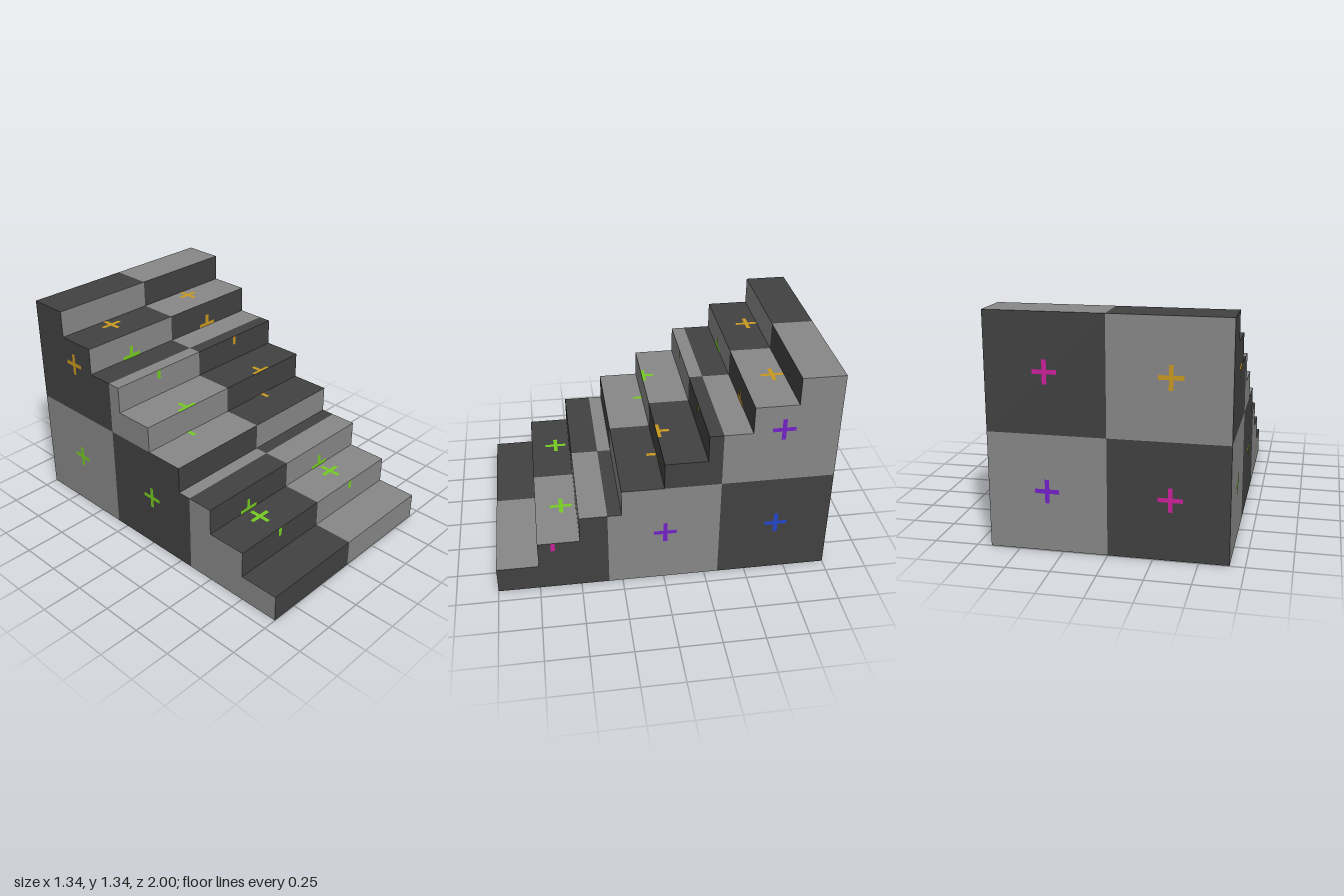
import * as THREE from 'three';

const flat = (name, color) => Object.assign(new THREE.MeshStandardMaterial({ color }), { name });

export function createModel() {
  const model = new THREE.Group();
  model.name = 'staircase';
  const mats = {
    dark: flat('dark grey', 0x414141),
    light: flat('light grey', 0x878787),
    green: flat('green', 0x76cb22),
    gold: flat('gold', 0xc8981f),
    purple: flat('purple', 0x7320c8),
    blue: flat('blue', 0x2246cc),
    magenta: flat('magenta', 0xcb1f9c),
  };

  const STEPS = 8, RUN = 0.25, RISE = 1 / 6, CELL = 2 / 3, W = CELL, H = STEPS * RISE;

  // each face: rotation of an upright plane, position from (u, v, depth), and which checker parity is dark
  const faces = {
    front: { rot: [0, 0, 0], pos: (u, v, d) => [u, v, d], out: 1, odd: 0 },
    back: { rot: [0, Math.PI, 0], pos: (u, v, d) => [u, v, d], out: -1, odd: 0 },
    top: { rot: [-Math.PI / 2, 0, 0], pos: (u, v, d) => [u, d, v], out: 1, odd: 0 },
    bottom: { rot: [Math.PI / 2, 0, 0], pos: (u, v, d) => [u, d, v], out: -1, odd: 1 },
    left: { rot: [0, Math.PI / 2, 0], pos: (u, v, d) => [d, v, u], out: 1, odd: 0 },
    right: { rot: [0, -Math.PI / 2, 0], pos: (u, v, d) => [d, v, u], out: -1, odd: 1 },
  };

  function plate(name, face, u0, u1, v0, v1, d, mat) {
    if (u1 - u0 < 1e-4 || v1 - v0 < 1e-4) return;
    const f = faces[face];
    const mesh = new THREE.Mesh(new THREE.PlaneGeometry(u1 - u0, v1 - v0), mat);
    mesh.rotation.set(...f.rot);
    mesh.position.set(...f.pos((u0 + u1) / 2, (v0 + v1) / 2, d));
    mesh.name = name;
    model.add(mesh);
  }

  // checker panel: shade follows the cell that its middle lies in
  const xCell = x => (x > 0 ? 1 : 0);
  const yCell = y => (y > CELL ? 1 : 0);
  const zCell = z => Math.floor((z + 1) / CELL);
  function panel(name, face, u0, u1, v0, v1, d) {
    const u = (u0 + u1) / 2, v = (v0 + v1) / 2;
    const side = face === 'left' || face === 'right';
    const flatFace = face === 'top' || face === 'bottom';
    const parity = ((side ? zCell(u) : xCell(u)) + (flatFace ? zCell(v) : yCell(v))) % 2;
    plate(name, face, u0, u1, v0, v1, d, parity === faces[face].odd ? mats.dark : mats.light);
  }

  // depth slices: every step edge plus the checker lines
  const cuts = [-1 / 3, 1 / 3];
  for (let i = 0; i <= STEPS; i++) cuts.push(-1 + i * RUN);
  cuts.sort((a, b) => a - b);
  const heightAt = z => RISE * Math.ceil((1 - z) / RUN);

  // treads and side walls
  for (let i = 0; i < cuts.length - 1; i++) {
    const z0 = cuts[i], z1 = cuts[i + 1], h = heightAt((z0 + z1) / 2);
    for (const x of [-W, 0]) panel('tread', 'top', x, x + W, z0, z1, h);
    for (const [face, x] of [['left', W], ['right', -W]]) {
      panel('sideWall', face, z0, z1, 0, Math.min(h, CELL), x);
      if (h > CELL + 1e-4) panel('sideWall', face, z0, z1, CELL, h, x);
    }
  }

  // risers, back wall and underside
  for (const x of [-W, 0]) {
    for (let s = 0; s < STEPS; s++) panel('riser', 'front', x, x + W, s * RISE, (s + 1) * RISE, 1 - s * RUN);
    for (const y of [0, CELL]) panel('backWall', 'back', x, x + W, y, y + CELL, -1);
    for (let k = 0; k < 3; k++) panel('underside', 'bottom', x, x + W, -1 + k * CELL, -1 + (k + 1) * CELL, 0);
  }

  // thin painted cross, clipped to the v range of the surface it lies on
  function cross(face, u, v, d, color, lo = -9, hi = 9) {
    const L = 0.068, T = 0.0125, off = d + faces[face].out * 0.002;
    const c = y => Math.min(hi, Math.max(lo, y));
    const bar = (u0, u1, v0, v1) => plate('paintedCross', face, u0, u1, c(v0), c(v1), off, mats[color]);
    bar(u - T, u + T, v - L, v + L);
    bar(u - L, u - T, v - T, v + T);
    bar(u + T, u + L, v - T, v + T);
  }

  // crosses on the risers, each spread over two steps
  for (const [x, y, color] of [[-0.345, 0.345, 'green'], [0.32, 0.345, 'green'],
    [-0.345, 1.012, 'green'], [0.32, 1.012, 'gold']]) {
    const s = Math.floor(y / RISE);
    cross('front', x, y, 1 - s * RUN, color, s * RISE);
    cross('front', x, y, 1 - (s - 1) * RUN, color, -9, s * RISE);
  }

  // crosses on the treads
  for (const [x, mid] of [[-0.345, 'green'], [0.32, 'gold']]) {
    cross('top', x, -0.68, 7 * RISE, 'gold');
    cross('top', x, 0.592, 2 * RISE, 'green');
    cross('top', x, -0.01, 5 * RISE, mid, -9, 0);
    cross('top', x, -0.01, 4 * RISE, mid, 0);
  }

  // crosses on the side walls
  cross('left', -0.675, 1.012, W, 'purple');
  cross('left', -0.675, 0.345, W, 'blue');
  cross('left', -0.007, 0.345, W, 'purple');
  cross('left', 0.66, 0.345, W, 'magenta', 0, 2 * RISE - 0.001);
  cross('right', -0.66, 1.012, -W, 'gold');
  cross('right', -0.66, 0.345, -W, 'green');
  cross('right', 0.007, 0.345, -W, 'green');

  // crosses on the back wall and underside
  cross('back', 0.333, 1.012, -1, 'magenta');
  cross('back', -0.345, 1.012, -1, 'gold');
  cross('back', 0.333, 0.345, -1, 'purple');
  cross('back', -0.345, 0.345, -1, 'magenta');
  cross('bottom', 0.333, -0.667, 0, 'blue');
  cross('bottom', -0.333, -0.667, 0, 'purple');
  cross('bottom', -0.333, 0, 0, 'blue');
  cross('bottom', 0.333, 0.667, 0, 'green');

  return model;
}
